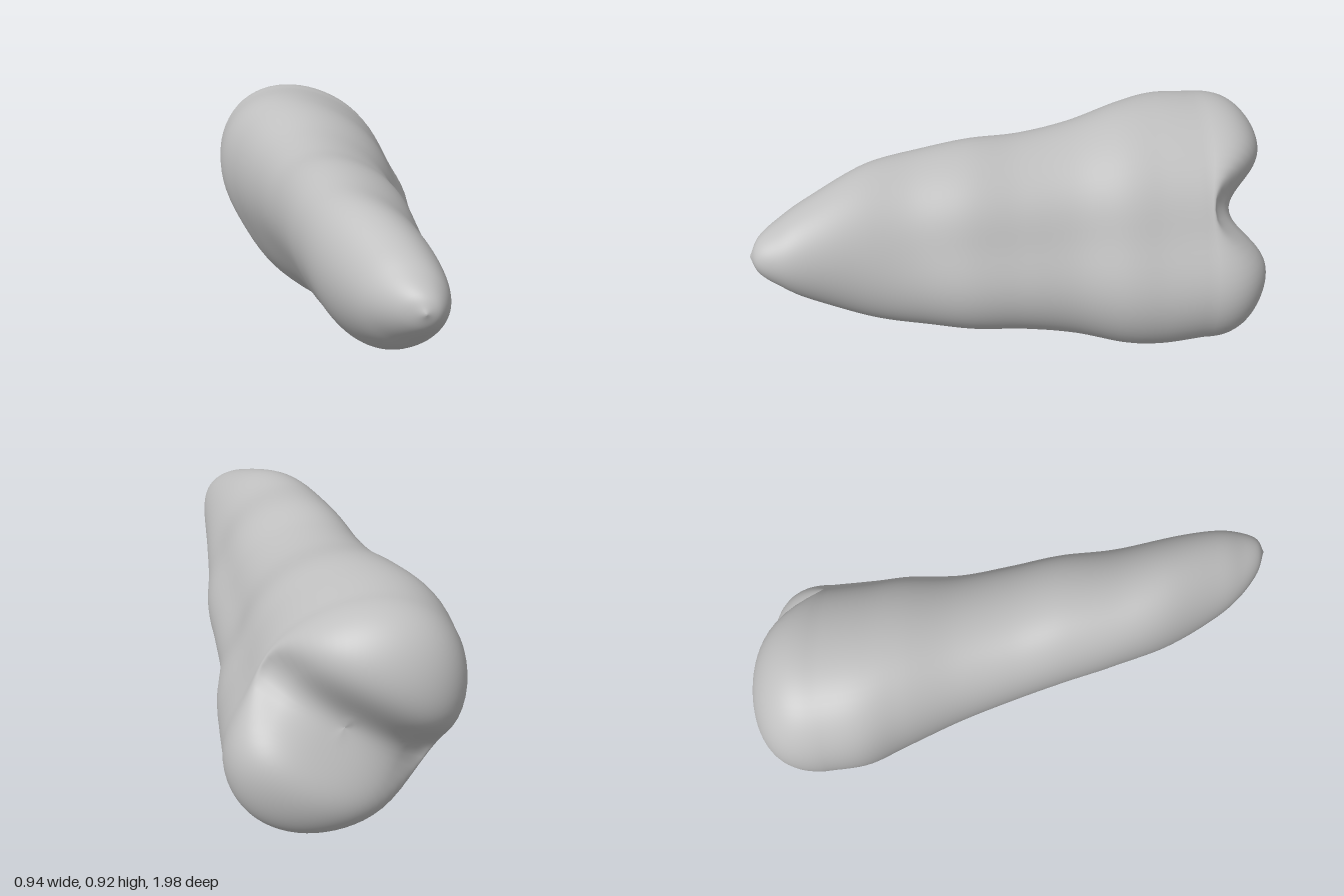
import * as THREE from 'three';

// Cross-section limits along the tooth: z, min x, max x, min y, max y
const STATIONS = [
  [1.0, 0.375, 0.385, 0.625, 0.635],
  [0.97, 0.29, 0.435, 0.56, 0.69],
  [0.9, 0.2, 0.462, 0.49, 0.735],
  [0.8, 0.12, 0.47, 0.41, 0.785],
  [0.6, 0.0, 0.455, 0.305, 0.85],
  [0.4, -0.08, 0.445, 0.25, 0.862],
  [0.2, -0.145, 0.445, 0.2, 0.875],
  [0.0, -0.21, 0.415, 0.16, 0.86],
  [-0.2, -0.285, 0.39, 0.1, 0.872],
  [-0.4, -0.38, 0.4, 0.03, 0.91],
  [-0.55, -0.45, 0.39, 0.0, 0.918],
  [-0.72, -0.475, 0.375, 0.01, 0.905],
];
const SEGMENTS = 72, BODY_RINGS = 80, CAP_RINGS = 36, CAP_Z = -0.72;

const bell = (d, width) => Math.exp(-((d / width) ** 2));
const angleGap = (a, b) => Math.atan2(Math.sin(a - b), Math.cos(a - b));
const smooth = (v, lo, hi) => THREE.MathUtils.smoothstep(v, lo, hi);

function createToothGeometry() {
  const xs = new THREE.CatmullRomCurve3(
    STATIONS.map(s => new THREE.Vector3(s[0], s[1], s[2])), false, 'catmullrom', 0.5);
  const ys = new THREE.CatmullRomCurve3(
    STATIONS.map(s => new THREE.Vector3(s[0], s[3], s[4])), false, 'catmullrom', 0.5);
  const positions = [], index = [];

  // A skewed oval ring with shallow lengthwise grooves on both sides
  function addRing(u, scale, z) {
    const px = xs.getPoint(u), py = ys.getPoint(u);
    const cx = (px.y + px.z) / 2, hx = (px.z - px.y) / 2;
    const cy = (py.y + py.z) / 2, hy = (py.z - py.y) / 2;
    const skew = -0.3 * (1 - smooth(px.x, 0.4, 0.9));
    const dent = 1 - smooth(px.x, 0.1, 0.7);
    for (let j = 0; j < SEGMENTS; j++) {
      const t = (j / SEGMENTS) * Math.PI * 2;
      const r = scale * (1 - dent * (0.1 * bell(angleGap(t, 0.55), 0.38)
        + 0.04 * bell(angleGap(t, 3.75), 0.35)));
      const x = cx + hx * r * Math.cos(t);
      const y = cy + hy * r * Math.sin(t + skew);
      // Diagonal cleft separating the two lobes of the chewing end
      const across = (x + 0.04) * -0.55 + (y - 0.48) * 0.83;
      const cleft = 0.17 * bell(across, 0.15) * smooth(-z, 0.68, 0.95);
      positions.push(x, y, z + cleft);
    }
  }

  for (let i = 0; i <= BODY_RINGS; i++) {
    const u = i / BODY_RINGS;
    addRing(u, 1, xs.getPoint(u).x);
  }
  // Rounded chewing end
  for (let i = 1; i <= CAP_RINGS; i++) {
    const a = (i / CAP_RINGS) * Math.PI / 2;
    const scale = Math.max(Math.cos(a), 0.0005) ** 0.8;
    addRing(1, scale, CAP_Z - 0.285 * Math.sin(a) ** 0.8);
  }

  const rings = BODY_RINGS + CAP_RINGS;
  for (let i = 0; i < rings; i++) {
    for (let j = 0; j < SEGMENTS; j++) {
      const k = (j + 1) % SEGMENTS;
      const a = i * SEGMENTS + j, b = i * SEGMENTS + k;
      const c = a + SEGMENTS, d = b + SEGMENTS;
      index.push(a, c, b, b, c, d);
    }
  }
  // Close the root tip
  for (let j = 1; j < SEGMENTS - 1; j++) index.push(0, j, j + 1);

  const geometry = new THREE.BufferGeometry();
  geometry.setAttribute('position', new THREE.Float32BufferAttribute(positions, 3));
  geometry.setIndex(index);
  geometry.computeVertexNormals();
  return geometry;
}

export function createModel() {
  const enamel = new THREE.MeshStandardMaterial({ color: 0xc0c0c0 });
  enamel.name = 'paleGrey';
  const tooth = new THREE.Mesh(createToothGeometry(), enamel);
  tooth.name = 'tooth';
  const model = new THREE.Group();
  model.name = 'toothModel';
  model.add(tooth);
  return model;
}
